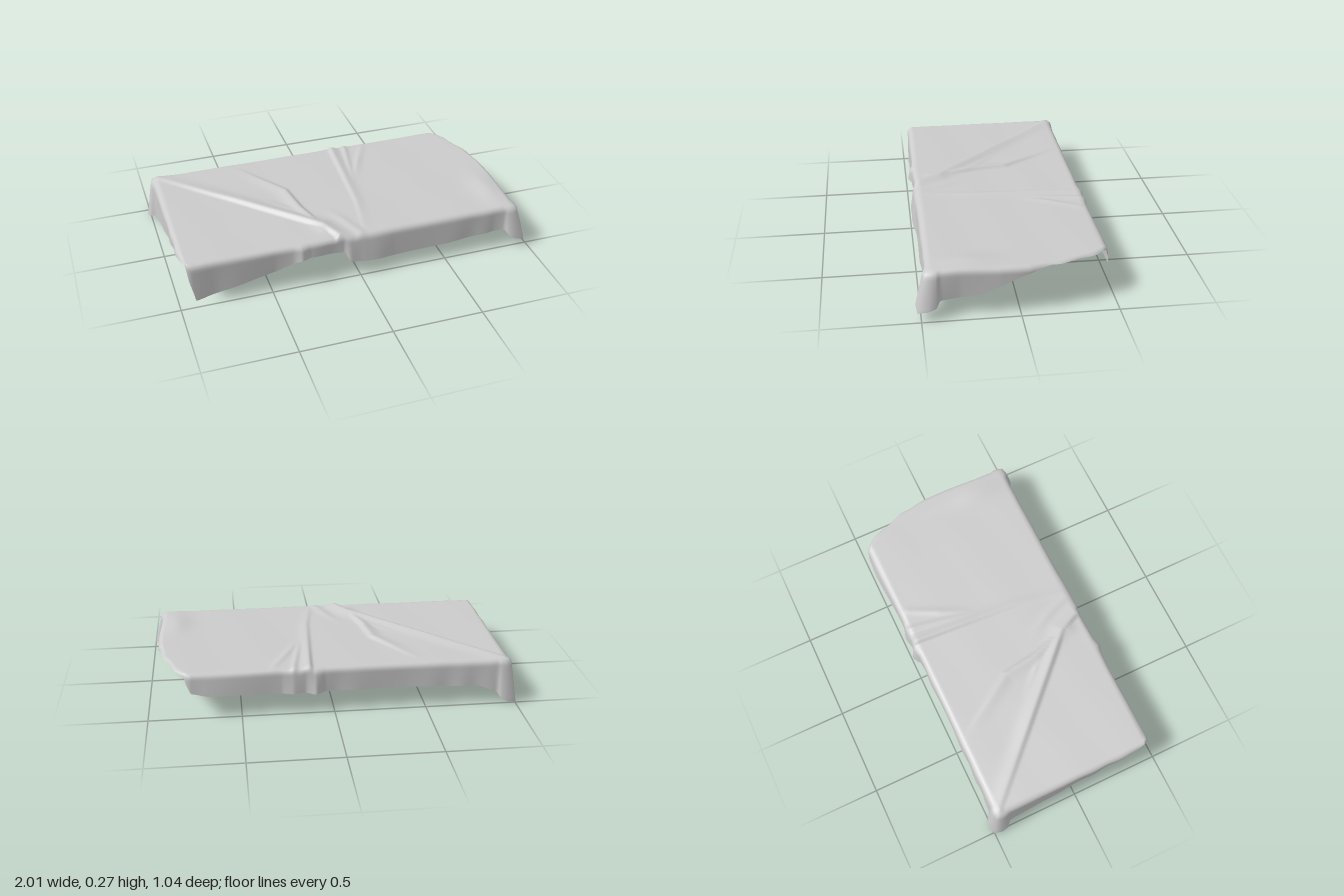
import * as THREE from 'three';

const TOP = 0.247, R = 0.03;            // table height, edge rounding
const NX = 190, NZ = 92, RINGS = 14;
const X0 = -0.94, Z0 = -0.44, Z1 = 0.44;

// piecewise-linear lookup: rows of [position, value, value...]
function lookup(rows, p, col = 1) {
  if (p <= rows[0][0]) return rows[0][col];
  for (let i = 1; i < rows.length; i++) {
    const a = rows[i - 1], b = rows[i];
    if (p <= b[0]) return a[col] + (b[col] - a[col]) * (p - a[0]) / (b[0] - a[0]);
  }
  return rows[rows.length - 1][col];
}

// outline of the +x end, with its cut-off back corner
const rightEdge = [[-0.44, 0.79], [-0.38, 0.83], [-0.2, 0.895], [-0.05, 0.918], [0.1, 0.92], [0.44, 0.905]];

// hems per side: [position along side, hem height, outward flare]
const hems = {
  front: [[-0.94, 0.243, 0], [-0.915, 0.02, 0], [-0.47, 0.11, 0], [-0.37, 0.15, 0.012], [-0.33, 0.165, 0.03],
    [-0.28, 0.163, 0.005], [-0.085, 0.155, 0], [-0.06, 0.1, 0.025], [0.03, 0.085, 0.028], [0.2, 0.076, 0.012],
    [0.5, 0.085, 0.008], [0.8, 0.103, 0.005], [0.87, 0.108, 0.015], [0.905, 0.04, 0.075]],
  right: [[-0.44, 0.235, 0], [-0.15, 0.238, 0], [-0.1, 0.228, 0], [0, 0.195, 0], [0.08, 0.16, 0],
    [0.2, 0.107, 0], [0.3, 0.095, 0], [0.4, 0.088, 0.01], [0.44, 0.04, 0.075]],
  back: [[-0.94, 0, 0.06], [-0.9, 0.06, 0.01], [-0.8, 0.1, 0.008], [-0.4, 0.112, 0], [0.05, 0.11, 0], [0.1, 0.105, 0.03],
    [0.15, 0.11, 0.01], [0.22, 0.11, 0.018], [0.28, 0.11, 0.002], [0.68, 0.12, 0.018], [0.77, 0.14, 0.018], [0.79, 0.235, 0]],
  left: [[-0.44, 0, 0.06], [-0.39, 0.025, 0.01], [-0.2, 0.075, 0], [0.1, 0.16, 0], [0.44, 0.243, 0]],
};

// creases on the top: points [x, z, height], widths on the +x and -x sides
const creases = [
  { pts: [[-0.96, -0.46, 0.006], [-0.6, -0.1, 0.016], [-0.17, 0.33, 0.024], [-0.1, 0.47, 0.016]], w: [0.05, 0.009] },
  { pts: [[-0.47, -0.4, 0.001], [-0.36, -0.23, 0.009], [-0.26, -0.08, 0.014], [-0.23, 0.12, 0.018], [-0.16, 0.35, 0.014]], w: [0.01, 0.045] },
  { pts: [[-0.45, -0.05, 0.001], [-0.3, 0.1, 0.008], [-0.18, 0.3, 0.008]], w: [0.02, 0.02] },
  { pts: [[0.13, -0.47, 0.015], [0.11, -0.15, 0.011], [0.09, 0.15, 0.007], [0.05, 0.4, 0.002]], w: [0.035, 0.01] },
  { pts: [[0.22, -0.47, 0.009], [0.18, -0.25, 0.006], [0.14, -0.02, 0.001]], w: [0.016, 0.016] },
  { pts: [[0.32, -0.42, 0.004], [0.24, -0.26, 0.007], [0.17, -0.1, 0.001]], w: [0.022, 0.018] },
  { pts: [[-0.1, 0.18, 0.001], [-0.04, 0.3, 0.006], [0.02, 0.46, 0.006]], w: [0.025, 0.025] },
];

function creaseHeight({ pts, w }, x, z) {
  let best = Infinity, h = 0;
  for (let i = 1; i < pts.length; i++) {
    const [ax, az, ah] = pts[i - 1], [bx, bz, bh] = pts[i];
    const dx = bx - ax, dz = bz - az;
    const t = THREE.MathUtils.clamp(((x - ax) * dx + (z - az) * dz) / (dx * dx + dz * dz), 0, 1);
    const px = x - ax - dx * t, pz = z - az - dz * t, d = Math.hypot(px, pz);
    if (d < best) {
      best = d;
      const side = dx * pz - dz * px < 0 ? w[0] : w[1];
      h = (ah + (bh - ah) * t) * Math.exp(-((d / side) ** 2));
    }
  }
  return h;
}

function topHeight(x, z) {
  let h = 0;
  for (const c of creases) h = Math.max(h, creaseHeight(c, x, z));
  // gentle sag, lifted cloth near the +x end, and fine ripples
  const lift = 0.014 * Math.exp(-(((x - 0.85) / 0.07) ** 2) - ((z - 0.25) / 0.16) ** 2);
  return TOP + h + lift + 0.0012 * Math.sin(9 * x + 7 * z) * Math.sin(11 * z - 5 * x);
}

function createClothGeometry() {
  const pos = [], index = [];
  const id = (i, k) => i * (NZ + 1) + k;

  // top sheet
  for (let i = 0; i <= NX; i++) {
    for (let k = 0; k <= NZ; k++) {
      const z = Z0 + (Z1 - Z0) * k / NZ;
      const x = X0 + (lookup(rightEdge, z) - X0) * i / NX;
      pos.push(x, topHeight(x, z), z);
      if (i < NX && k < NZ) {
        index.push(id(i, k), id(i, k + 1), id(i + 1, k), id(i + 1, k), id(i, k + 1), id(i + 1, k + 1));
      }
    }
  }

  // walk around the border of the top sheet
  const border = [];
  for (let i = 0; i < NX; i++) border.push([id(i, NZ), 'front']);
  for (let k = NZ; k > 0; k--) border.push([id(NX, k), 'right']);
  for (let i = NX; i > 0; i--) border.push([id(i, 0), 'back']);
  for (let k = 0; k < NZ; k++) border.push([id(0, k), 'left']);
  const n = border.length;
  const at = (s) => border[(s + n) % n][0] * 3;

  // hanging skirt: over a rounded edge, then down to the hem
  const skirt = pos.length / 3;
  const ring = (s, j) => (j === 0 ? border[s % n][0] : skirt + (s % n) * RINGS + j - 1);
  for (let s = 0; s < n; s++) {
    const [v, side] = border[s];
    const [x, y, z] = pos.slice(v * 3, v * 3 + 3);
    const a = at(s - 2), b = at(s + 2);
    const out = new THREE.Vector2(-(pos[b + 2] - pos[a + 2]), pos[b] - pos[a]).normalize();
    const p = side === 'front' || side === 'back' ? x : z;
    const hem = lookup(hems[side], p), flare = lookup(hems[side], p, 2);
    const drop = TOP - hem, quarter = R * Math.PI / 2;
    const length = drop < R ? R * Math.acos(1 - drop / R) : quarter + drop - R;
    for (let j = 1; j <= RINGS; j++) {
      const t = j / RINGS, l = length * t, angle = Math.min(l, quarter) / R;
      const fall = R * (1 - Math.cos(angle)) + Math.max(0, l - quarter);
      const ripple = 0.003 * Math.sin(s * 0.23 + Math.sin(s * 0.07) * 2) * t;
      const o = R * Math.sin(angle) + flare * Math.pow(t, 0.8) + ripple;
      pos.push(x + out.x * o, y - fall - (y - TOP) * t, z + out.y * o);
    }
    for (let j = 0; j < RINGS; j++) {
      index.push(ring(s, j), ring(s, j + 1), ring(s + 1, j), ring(s + 1, j), ring(s, j + 1), ring(s + 1, j + 1));
    }
  }

  const geometry = new THREE.BufferGeometry();
  geometry.setAttribute('position', new THREE.Float32BufferAttribute(pos, 3));
  geometry.setIndex(index);
  geometry.computeVertexNormals();
  return geometry;
}

export function createModel() {
  const group = new THREE.Group();
  group.name = 'drapedCloth';
  const material = new THREE.MeshStandardMaterial({ color: 0xcccccc, side: THREE.DoubleSide });
  const cloth = new THREE.Mesh(createClothGeometry(), material);
  cloth.name = 'tablecloth';
  group.add(cloth);
  return group;
}
